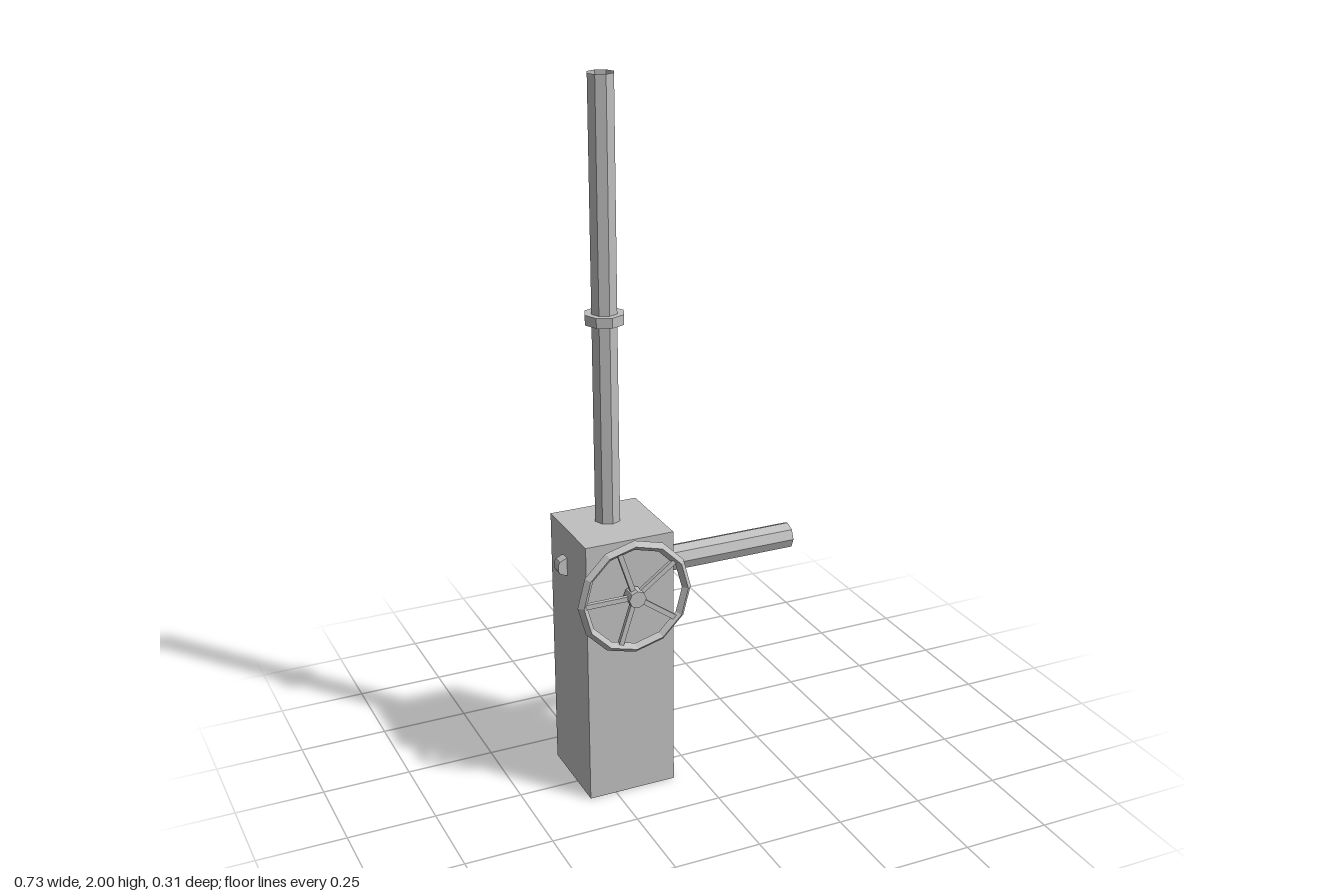
import * as THREE from 'three';

export function createModel() {
  const model = new THREE.Group();
  const grey = new THREE.MeshStandardMaterial({ color: 0xc0c0c0, flatShading: true, side: THREE.DoubleSide });
  grey.name = 'plain grey';

  const add = (name, geometry, x, y, z, parent = model) => {
    const mesh = new THREE.Mesh(geometry, grey);
    mesh.name = name;
    mesh.position.set(x, y, z);
    parent.add(mesh);
    return mesh;
  };
  const prism = (r, length, open = false) => new THREE.CylinderGeometry(r, r, length, 8, 1, open);

  const cx = -0.199, cz = -0.053, boxTop = 0.774, wheelY = 0.618;

  // Upright housing
  add('housing', new THREE.BoxGeometry(0.257, boxTop, 0.257), cx, boxTop / 2, 0.1008 - 0.1283);

  // Open vertical pipe with its collar
  add('verticalPipe', prism(0.037, 2 - boxTop, true), cx, (2 + boxTop) / 2, cz);
  add('pipeCollar', prism(0.0558, 0.028), cx, 1.355, cz);

  // Open side pipe
  const start = -0.0705, end = 0.366;
  add('sidePipe', prism(0.038, end - start, true).rotateZ(-Math.PI / 2), (start + end) / 2, wheelY, cz);

  // Handwheel: diamond-section rim, five spokes, hub and shaft
  const wheel = new THREE.Group();
  wheel.name = 'handwheel';
  wheel.position.set(cx, wheelY, 0.131);
  model.add(wheel);
  const tube = 0.0135;
  add('rim', new THREE.TorusGeometry(0.167 - tube, tube, 4, 12), 0, 0, 0, wheel);
  for (let i = 0; i < 5; i++) {
    const angle = Math.PI + (i * Math.PI * 2) / 5;
    const spoke = add('spoke', new THREE.BoxGeometry(0.13, 0.014, 0.012),
      Math.cos(angle) * 0.08, Math.sin(angle) * 0.08, 0, wheel);
    spoke.rotation.z = angle;
  }
  add('hub', prism(0.0248, 0.042).rotateX(Math.PI / 2), 0, 0, 0, wheel);
  add('shaft', prism(0.0088, 0.03).rotateX(Math.PI / 2), 0, 0, -0.025, wheel);

  // Small chamfered lug on the side opposite the pipe
  const outline = [[0.001, -0.026], [-0.003, -0.026], [-0.021, -0.018], [-0.0255, -0.01],
    [-0.0255, 0.01], [-0.021, 0.018], [-0.003, 0.026], [0.001, 0.026]];
  const shape = new THREE.Shape(outline.map(([x, y]) => new THREE.Vector2(x, y)));
  add('sideLug', new THREE.ExtrudeGeometry(shape, { depth: 0.03, bevelEnabled: false }), -0.3275, 0.66, cz - 0.015);

  return model;
}
